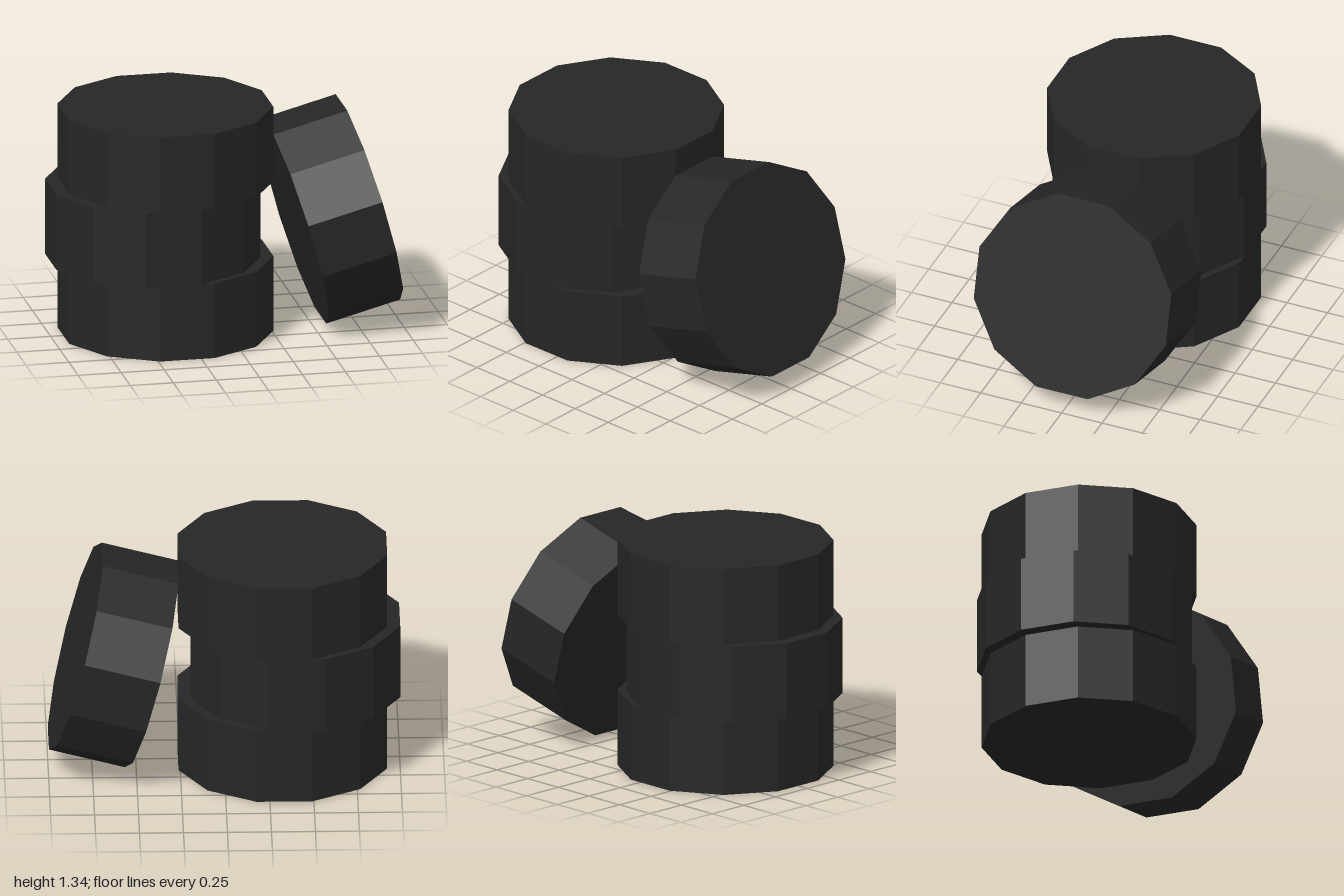
import * as THREE from 'three';

const RADIUS = 0.614;
const WIDTH = 0.445;

export function createModel() {
  const group = new THREE.Group();
  const rubber = new THREE.MeshStandardMaterial({ color: 0x262626 });
  rubber.name = 'blackRubber';
  rubber.flatShading = true;

  // Twelve-sided tyre, turned so that flat sides face along x and z
  const tyreGeometry = new THREE.CylinderGeometry(RADIUS, RADIUS, WIDTH, 12);
  tyreGeometry.rotateY(Math.PI / 12);

  function addTyre(name, x, y, tilt = 0) {
    const tyre = new THREE.Mesh(tyreGeometry, rubber);
    tyre.name = name;
    tyre.position.set(x, y, 0);
    tyre.rotation.z = tilt;
    group.add(tyre);
  }

  // Stack of three, the middle one pushed sideways
  addTyre('bottomTyre', -0.333, WIDTH * 0.5);
  addTyre('middleTyre', -0.407, WIDTH * 1.5);
  addTyre('topTyre', -0.333, WIDTH * 2.5);

  // Tyre leaning against the stack
  addTyre('leaningTyre', 0.628, 0.653, THREE.MathUtils.degToRad(-75));

  return group;
}
